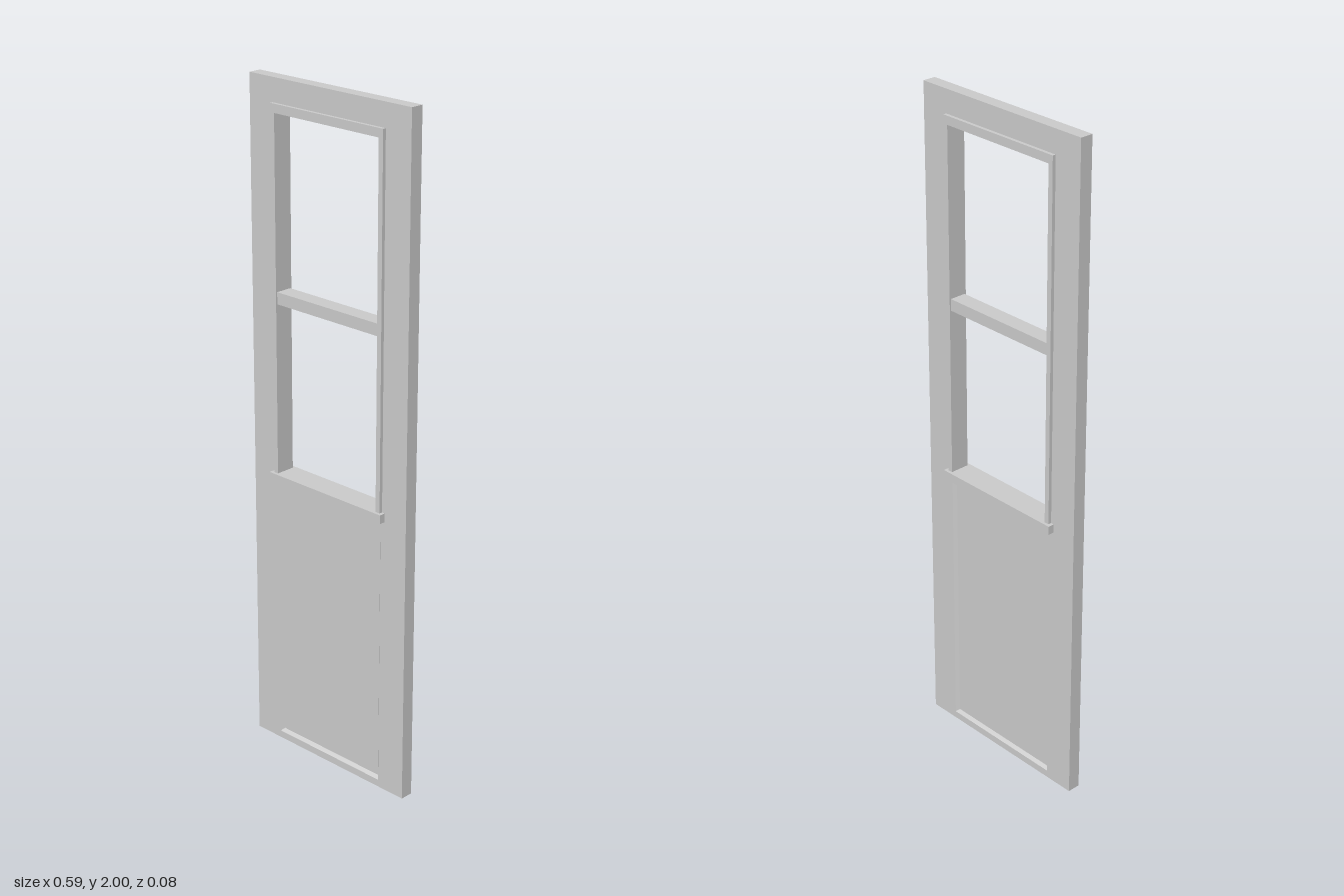
import * as THREE from 'three';

const material = new THREE.MeshStandardMaterial({ color: 0xcccccc, flatShading: true });

const slabZ = 0.0195, frameZ = 0.0295, sillZ = 0.0385, barZ = 0.025;

function add(group, name, geometry) {
  const mesh = new THREE.Mesh(geometry, material);
  mesh.name = name;
  group.add(mesh);
  return mesh;
}

// Corners of a rectangle centred on x = 0, counter-clockwise
function rectangle(halfWidth, bottom, top) {
  return [[-halfWidth, bottom], [halfWidth, bottom], [halfWidth, top], [-halfWidth, top]];
}

// Flat plate with rectangular openings, centred on z = 0
function plate(outer, holes, halfDepth) {
  const points = (r) => r.map(([x, y]) => new THREE.Vector2(x, y));
  const shape = new THREE.Shape(points(outer));
  for (const h of holes) shape.holes.push(new THREE.Path(points(h).reverse()));
  const geometry = new THREE.ExtrudeGeometry(shape, { depth: 2 * halfDepth, bevelEnabled: false });
  return geometry.translate(0, 0, -halfDepth);
}

// Recessed face with a sloped border, facing +z
function recess(outer, inner, outerZ, innerZ) {
  const positions = [
    ...outer.flatMap(([x, y]) => [x, y, outerZ]),
    ...inner.flatMap(([x, y]) => [x, y, innerZ]),
  ];
  const index = [4, 5, 6, 4, 6, 7];
  for (let i = 0; i < 4; i++) {
    const j = (i + 1) % 4;
    index.push(i, j, j + 4, i, j + 4, i + 4);
  }
  const indexed = new THREE.BufferGeometry();
  indexed.setAttribute('position', new THREE.Float32BufferAttribute(positions, 3));
  indexed.setIndex(index);
  const geometry = indexed.toNonIndexed();
  geometry.computeVertexNormals();
  return geometry;
}

export function createModel() {
  const door = new THREE.Group();
  door.name = 'door';

  // Door leaf with the window opening and the lower panel opening
  const panelOuter = rectangle(0.2, 0.022, 0.838);
  const panelInner = rectangle(0.191, 0.031, 0.829);
  add(door, 'doorLeaf', plate(
    rectangle(0.293, 0, 2),
    [rectangle(0.198, 0.855, 1.92), panelOuter],
    slabZ,
  ));

  // Sunken lower panel on both faces
  for (const side of ['front', 'back']) {
    const panel = add(door, side + 'LowerPanel', recess(panelOuter, panelInner, slabZ, slabZ - 0.009));
    if (side === 'back') panel.rotation.y = Math.PI;
  }

  // Window trim, ending in the sill
  add(door, 'windowFrame', plate(
    rectangle(0.205, 0.846, 1.932),
    [rectangle(0.19, 0.856, 1.907)],
    frameZ,
  ));

  // Sill across the foot of the window
  add(door, 'windowSill', new THREE.BoxGeometry(0.43, 0.026, 2 * sillZ)).position.y = 0.855;

  // Bar between the two panes
  add(door, 'glazingBar', new THREE.BoxGeometry(0.38, 0.035, 2 * barZ)).position.y = 1.39;

  return door;
}
